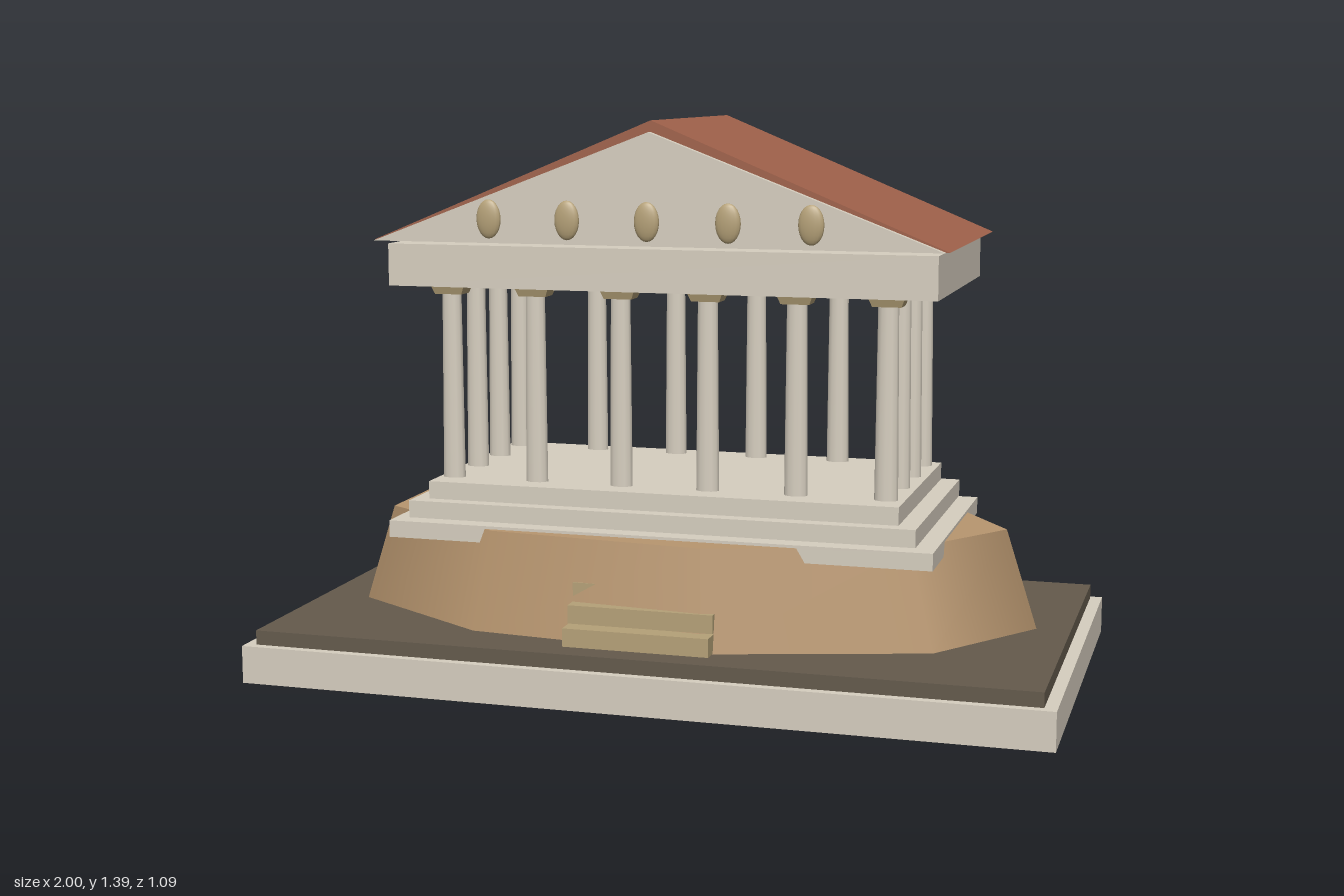
import * as THREE from 'three';

const mat = (color) => new THREE.MeshStandardMaterial({ color });
const stone = mat(0xd6cebf);
const tan = mat(0xb5a178);
const rock = mat(0xb8966f);
const earth = mat(0x645a4c);
const tile = mat(0xa0614a);

const DEPTH = 0.72; // columns and capitals are narrower front to back

export function createModel() {
  const root = new THREE.Group();

  const add = (name, geometry, material, x = 0, y = 0, z = 0) => {
    const mesh = new THREE.Mesh(geometry, material);
    mesh.name = name;
    mesh.position.set(x, y, z);
    root.add(mesh);
    return mesh;
  };

  // Box given by half width, bottom, top and back/front z
  const slab = (name, material, hx, y0, y1, z0, z1) =>
    add(name, new THREE.BoxGeometry(hx * 2, y1 - y0, z1 - z0), material, 0, (y0 + y1) / 2, (z0 + z1) / 2);

  // Triangular prism from z0 to z1
  const gable = (name, material, hx, y0, y1, z0, z1) => {
    const shape = new THREE.Shape([
      new THREE.Vector2(-hx, y0), new THREE.Vector2(hx, y0), new THREE.Vector2(0, y1),
    ]);
    return add(name, new THREE.ExtrudeGeometry(shape, { depth: z1 - z0, bevelEnabled: false }), material, 0, 0, z0);
  };

  // Plinth and ground
  slab('plinth', stone, 1, 0, 0.094, -0.545, 0.545);
  slab('ground', earth, 0.97, 0.095, 0.131, -0.526, 0.526);

  // Nine-sided rocky hill, flattened front to back
  const hill = add('hill', new THREE.CylinderGeometry(0.81, 0.888, 0.246, 9, 1, false, Math.PI / 2), rock, 0, 0.26, 0);
  hill.scale.z = 0.521;

  // Stairs running into the front of the hill
  for (let i = 0; i < 3; i++) {
    const y = 0.139 + i * 0.047;
    const front = 0.488 - i * 0.04;
    slab('stair', tan, 0.181, y, y + 0.045, front - 0.075, front);
  }

  // Three-stepped temple floor
  [[0.685, 0.348, 0.39, 0.35], [0.64, 0.396, 0.439, 0.328], [0.595, 0.442, 0.486, 0.305]]
    .forEach(([hx, y0, y1, hz]) => slab('floorStep', stone, hx, y0, y1, -hz, hz));

  // Columns: six along front and back with capitals, two more on each side
  const shaft = new THREE.CylinderGeometry(0.025, 0.029, 0.477, 12);
  const capital = new THREE.CylinderGeometry(0.045 * Math.SQRT2, 0.035 * Math.SQRT2, 0.024, 4).rotateY(Math.PI / 4).toNonIndexed();
  capital.computeVertexNormals();
  const column = (x, z) => {
    add('column', shaft, stone, x, 0.7275, z).scale.z = DEPTH;
  };
  for (const z of [-0.239, 0.239]) {
    for (let i = 0; i < 6; i++) {
      const x = -0.552 + i * 0.2208;
      column(x, z);
      add('capital', capital, tan, x, 0.965, z).scale.z = DEPTH;
    }
  }
  for (const x of [-0.552, 0.552]) {
    for (const z of [-0.078, 0.078]) column(x, z);
  }

  // Entablature, roof and the two pediments
  slab('entablature', stone, 0.683, 0.977, 1.081, -0.326, 0.326);
  gable('roof', tile, 0.712, 1.091, 1.386, -0.346, 0.346);
  gable('frontPediment', stone, 0.703, 1.091, 1.359, 0.34, 0.367);
  gable('backPediment', stone, 0.703, 1.091, 1.359, -0.367, -0.34);

  // Oval ornaments across the front pediment
  const oval = new THREE.SphereGeometry(1, 16, 12);
  for (let i = -2; i <= 2; i++) {
    add('ornament', oval, tan, i * 0.198, 1.15, 0.381).scale.set(0.031, 0.047, 0.012);
  }

  return root;
}
